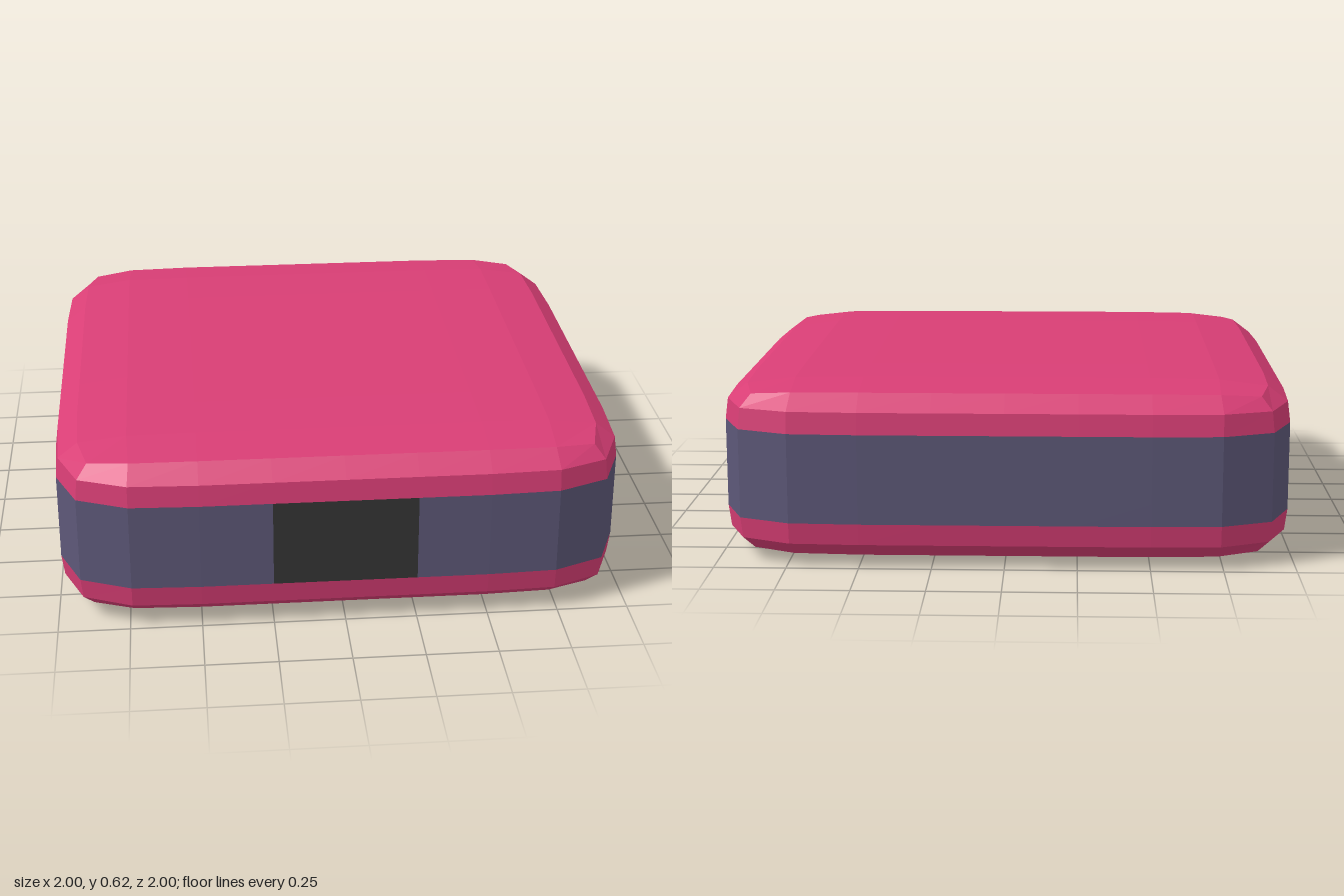
import * as THREE from 'three';

const HALF_HEIGHT = 0.3125;

// Rounded-cube rule: where a grid coordinate lands, given its two neighbours' coordinates.
function soften(p, q, r) {
  const a = Math.abs(p), hi = Math.max(Math.abs(q), Math.abs(r)), lo = Math.min(Math.abs(q), Math.abs(r));
  let out = a;
  if (a > 0.9) {
    if (hi > 0.9) out = lo > 0.9 ? 0.875 : lo > 0.7 ? 0.91 : 0.917; // corners and edges
    else if (hi > 0.7) out = lo > 0.7 ? 0.98 : 0.99; // ring next to the edges
    else out = 1;
  } else if (a > 0.7) out = hi > 0.9 && lo > 0.9 ? 0.734 : 0.74;
  return Math.sign(p) * out;
}

// Which part a cell of the grid belongs to, from its centre.
function partAt(c) {
  if (Math.abs(c.y) > 0.5) return c.y > 0 ? 'topCover' : 'bottomCover';
  return c.z > 0.99 && Math.abs(c.x) < 0.25 ? 'frontWindow' : 'sideBand';
}

export function createModel() {
  const group = new THREE.Group();
  group.name = 'cushionBox';
  const colors = { topCover: 0xd83e75, bottomCover: 0xd83e75, sideBand: 0x5d5878, frontWindow: 0x363636 };
  const points = { topCover: [], bottomCover: [], sideBand: [], frontWindow: [] };

  // Sort the triangles of a divided cube into parts, rounding each vertex
  const pos = new THREE.BoxGeometry(2, 2, 2, 8, 8, 8).toNonIndexed().attributes.position;
  for (let i = 0; i < pos.count; i += 3) {
    const tri = [0, 1, 2].map((k) => new THREE.Vector3().fromBufferAttribute(pos, i + k));
    const centre = new THREE.Vector3().add(tri[0]).add(tri[1]).add(tri[2]).divideScalar(3);
    const list = points[partAt(centre)];
    for (const { x, y, z } of tri) {
      list.push(new THREE.Vector3(
        soften(x, y, z),
        HALF_HEIGHT * (1 + soften(y, x, z)),
        soften(z, x, y)));
    }
  }

  // One flat-shaded mesh per part
  for (const name of Object.keys(points)) {
    const geometry = new THREE.BufferGeometry().setFromPoints(points[name]);
    geometry.computeVertexNormals();
    const material = new THREE.MeshStandardMaterial({ color: colors[name], flatShading: true });
    const mesh = new THREE.Mesh(geometry, material);
    mesh.name = name;
    group.add(mesh);
  }
  return group;
}
